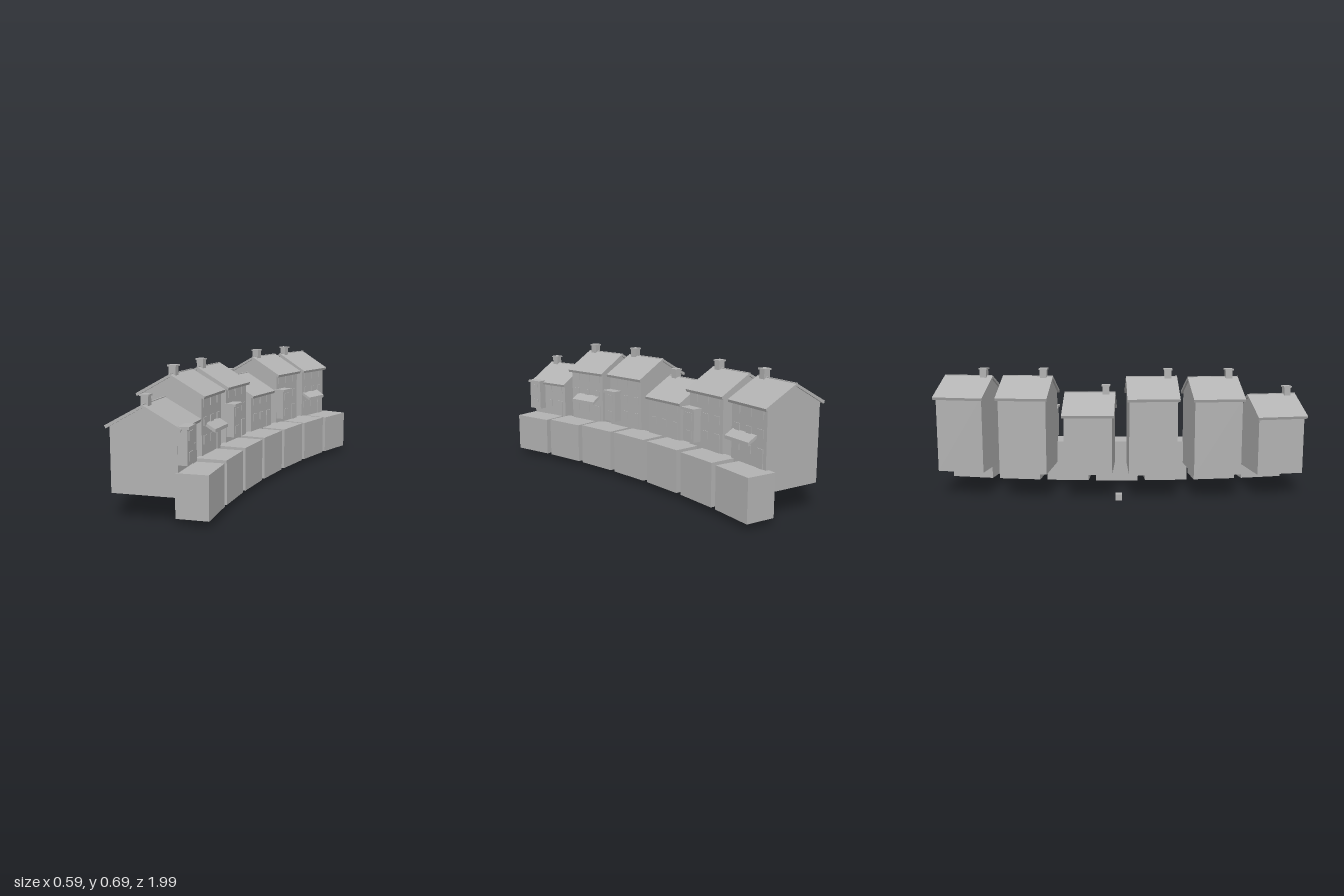
import * as THREE from 'three';

const stone = new THREE.MeshStandardMaterial({ color: 0xb2b2b2 });
stone.name = 'plain grey';

function add(parent, name, geo, x = 0, y = 0, z = 0) {
  const m = new THREE.Mesh(geo, stone);
  m.name = name;
  m.position.set(x, y, z);
  parent.add(m);
  return m;
}

// Box spanning heights y0..y1
function block(parent, name, w, y0, y1, d, x, z) {
  return add(parent, name, new THREE.BoxGeometry(w, y1 - y0, d), x, (y0 + y1) / 2, z);
}

// Outline in x/y extruded along z, centred on z
function prism(parent, name, pts, depth, z = 0) {
  const shape = new THREE.Shape(pts.map(p => new THREE.Vector2(...p)));
  const geo = new THREE.ExtrudeGeometry(shape, { depth, bevelEnabled: false });
  geo.translate(0, 0, -depth / 2);
  return add(parent, name, geo, 0, 0, z);
}

const FRONT = 0.162;   // half depth of the walls
const COLUMNS = [0.085, 0, -0.085];

function house({ x, z, turn, base, ridge, floors, bay, awning }) {
  const g = new THREE.Group();
  g.name = 'house';
  g.position.set(x, 0, z);
  g.rotation.y = turn * Math.PI / 180;

  // Walls with gable ends
  const eave = ridge - 0.098;
  prism(g, 'walls', [[-FRONT, base], [FRONT, base], [FRONT, eave],
    [0, ridge - 0.01], [-FRONT, eave]], 0.254);

  // Pitched roof slab
  const e = 0.183, t = 0.014, low = ridge - 0.1;
  prism(g, 'roof', [[-e, low], [-e + 0.005, low - t], [0, ridge - t], [e - 0.005, low - t],
    [e, low], [0, ridge]], 0.275);
  block(g, 'ridgeCap', 0.008, ridge - 0.006, ridge + 0.002, 0.275, 0, 0);

  // Chimney
  block(g, 'chimneyStack', 0.036, ridge - 0.03, ridge + 0.036, 0.036, 0, 0.087);
  block(g, 'chimneyCap', 0.046, ridge + 0.034, ridge + 0.042, 0.046, 0, 0.087);

  // Windows, with a door at the end of the lowest floor
  const top = ridge - 0.137;
  for (let f = 0; f < floors; f++) {
    const y = top - f * 0.09;
    const ground = f === floors - 1;
    COLUMNS.forEach((c, i) => {
      if (bay && i === 0 && f >= floors - 2) return;
      if (ground && i === 2) block(g, 'door', 0.008, y - 0.08, y + 0.02, 0.042, FRONT, c);
      else block(g, 'window', 0.008, y - 0.021, y + 0.021, 0.038, FRONT, c);
    });
  }

  // Two-storey bay
  if (bay) {
    const roofY = bay;
    block(g, 'bay', 0.06, roofY - 0.175, roofY - 0.013, 0.085, FRONT + 0.015, 0.083);
    block(g, 'bayRoof', 0.07, roofY - 0.013, roofY, 0.098, FRONT + 0.02, 0.083);
    for (const dy of [0.045, 0.138])
      block(g, 'bayWindow', 0.006, roofY - dy - 0.021, roofY - dy + 0.021, 0.05, FRONT + 0.045, 0.083);
  }

  // Sloping shop awning
  if (awning !== undefined)
    prism(g, 'awning', [[FRONT - 0.002, 0.402], [FRONT - 0.002, 0.385], [FRONT + 0.05, 0.355],
      [FRONT + 0.05, 0.372]], 0.175, awning);
  return g;
}

export function createModel() {
  const root = new THREE.Group();
  root.name = 'terrace';

  // Curved row of houses
  [
    { x: -0.037, z: -0.833, turn: -10.3, base: 0.137, ridge: 0.64, floors: 3, awning: 0.03 },
    { x: -0.085, z: -0.505, turn: -6.2, base: 0.137, ridge: 0.643, floors: 3, bay: 0.457 },
    { x: -0.108, z: -0.17, turn: -2.1, base: 0.137, ridge: 0.557, floors: 2 },
    { x: -0.108, z: 0.161, turn: 2.1, base: 0.135, ridge: 0.642, floors: 3, bay: 0.457 },
    { x: -0.083, z: 0.492, turn: 6.3, base: 0.13, ridge: 0.638, floors: 3, awning: -0.01 },
    { x: -0.034, z: 0.822, turn: 10.6, base: 0.125, ridge: 0.538, floors: 2, bay: 0.448 },
  ].forEach(h => root.add(house(h)));

  // Pavement blocks following the same curve
  const R = 4.37;
  [0.248, 0.252, 0.255, 0.255, 0.252, 0.246, 0.239].forEach((top, i) => {
    const a = (i - 3) * 3.6 * Math.PI / 180;
    const m = block(root, 'pavementBlock', 0.158, 0.03, top, 0.238,
      0.114 + R * (1 - Math.cos(a)), -0.026 + R * Math.sin(a));
    m.rotation.y = a;
  });

  // Small loose cube behind the row
  block(root, 'smallCube', 0.034, 0, 0.034, 0.034, -0.261, -0.015);
  return root;
}
